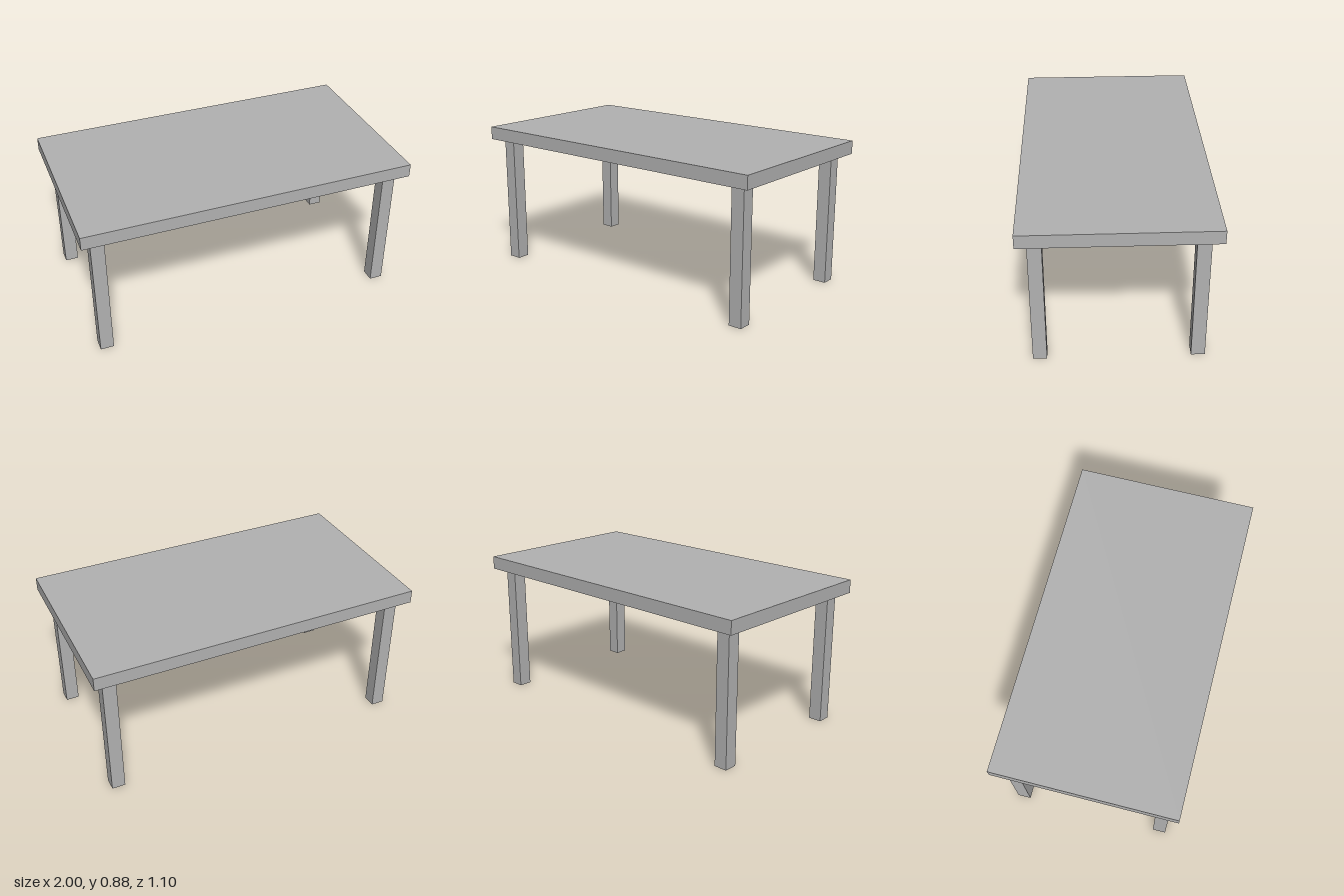
import * as THREE from 'three';

const LEG = 0.08;          // leg thickness
const LEG_HEIGHT = 0.8;
const TOP_THICKNESS = 0.08;

export function createModel() {
  const table = new THREE.Group();
  table.name = 'table';

  const grey = new THREE.MeshStandardMaterial({ color: 0xb2b2b2 });
  grey.name = 'grey';

  const addBox = (name, w, h, d, x, y, z) => {
    const mesh = new THREE.Mesh(new THREE.BoxGeometry(w, h, d), grey);
    mesh.name = name;
    mesh.position.set(x, y, z);
    table.add(mesh);
  };

  // Rectangular slab
  addBox('tabletop', 2, TOP_THICKNESS, 1.1, 0, LEG_HEIGHT + TOP_THICKNESS / 2, 0);

  // Four square legs, inset from the corners
  for (const [side, sx] of [['Left', 1], ['Right', -1]]) {
    for (const [end, sz] of [['front', 1], ['back', -1]]) {
      addBox(`${end}${side}Leg`, LEG, LEG_HEIGHT, LEG, sx * 0.9, LEG_HEIGHT / 2, sz * 0.45);
    }
  }

  return table;
}
